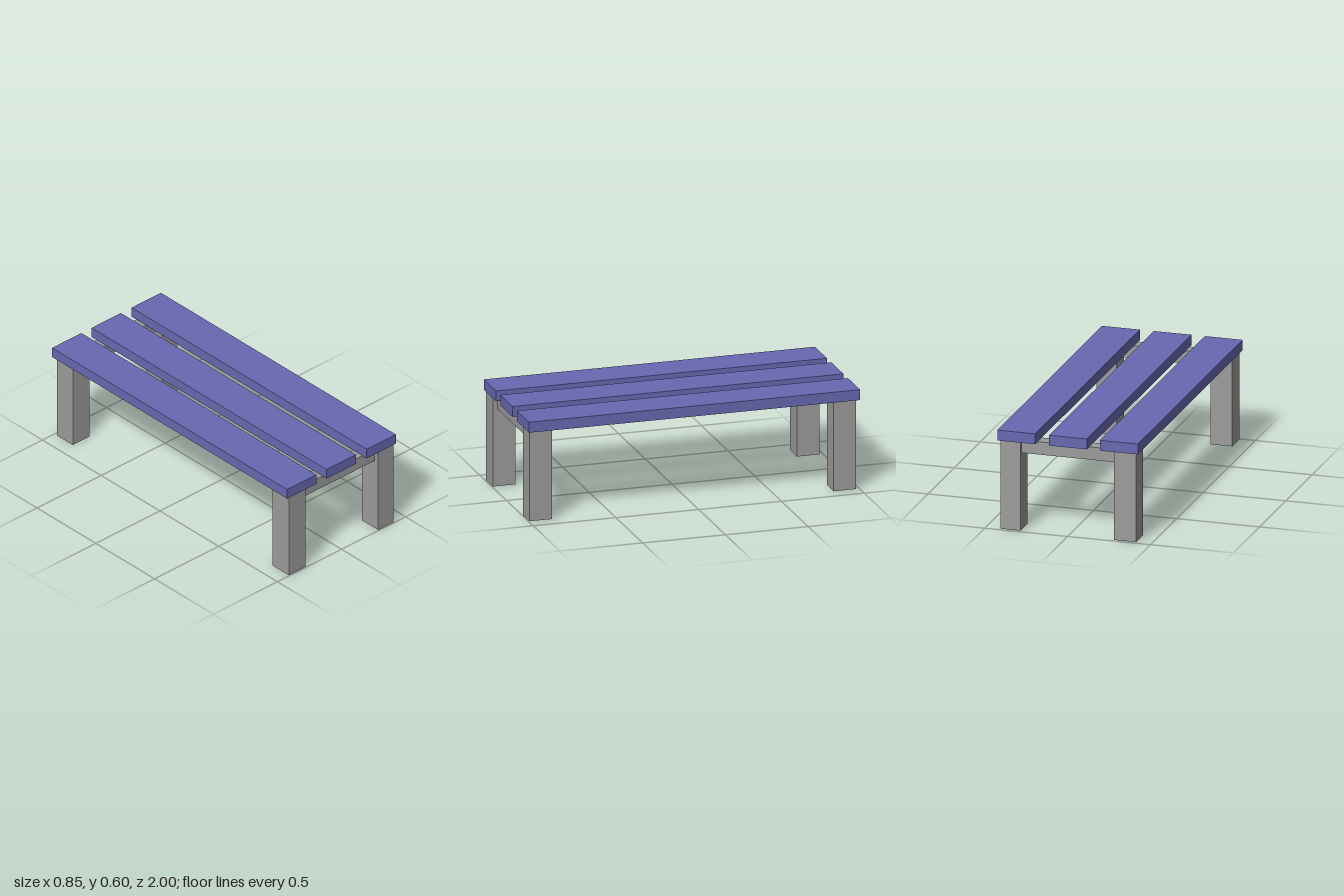
import * as THREE from 'three';

const grey = new THREE.MeshStandardMaterial({ color: 0x9c9c9c });
const blue = new THREE.MeshStandardMaterial({ color: 0x6868b2 });

// Box given by its lower and upper limits on each axis
function block(name, material, [x0, x1], [y0, y1], [z0, z1]) {
  const mesh = new THREE.Mesh(new THREE.BoxGeometry(x1 - x0, y1 - y0, z1 - z0), material);
  mesh.position.set((x0 + x1) / 2, (y0 + y1) / 2, (z0 + z1) / 2);
  mesh.name = name;
  return mesh;
}

export function createModel() {
  const bench = new THREE.Group();
  bench.name = 'bench';

  // Three long seat planks
  const planks = { right: [-0.424, -0.196], middle: [-0.116, 0.112], left: [0.196, 0.424] };
  for (const [side, x] of Object.entries(planks)) {
    bench.add(block(side + 'Plank', blue, x, [0.539, 0.602], [-1, 1]));
  }

  // Two end frames: a pair of legs joined by a crossbar under the planks
  const ends = [
    { name: 'front', legZ: [0.857, 0.994], barZ: [0.885, 0.965] },
    { name: 'back', legZ: [-0.98, -0.844], barZ: [-0.957, -0.877] },
  ];
  for (const { name, legZ, barZ } of ends) {
    const frame = new THREE.Group();
    frame.name = name + 'Frame';
    frame.add(
      block(name + 'RightLeg', grey, [-0.406, -0.274], [0, 0.539], legZ),
      block(name + 'LeftLeg', grey, [0.291, 0.412], [0, 0.539], legZ),
      block(name + 'Crossbar', grey, [-0.274, 0.291], [0.464, 0.541], barZ),
    );
    bench.add(frame);
  }
  return bench;
}
